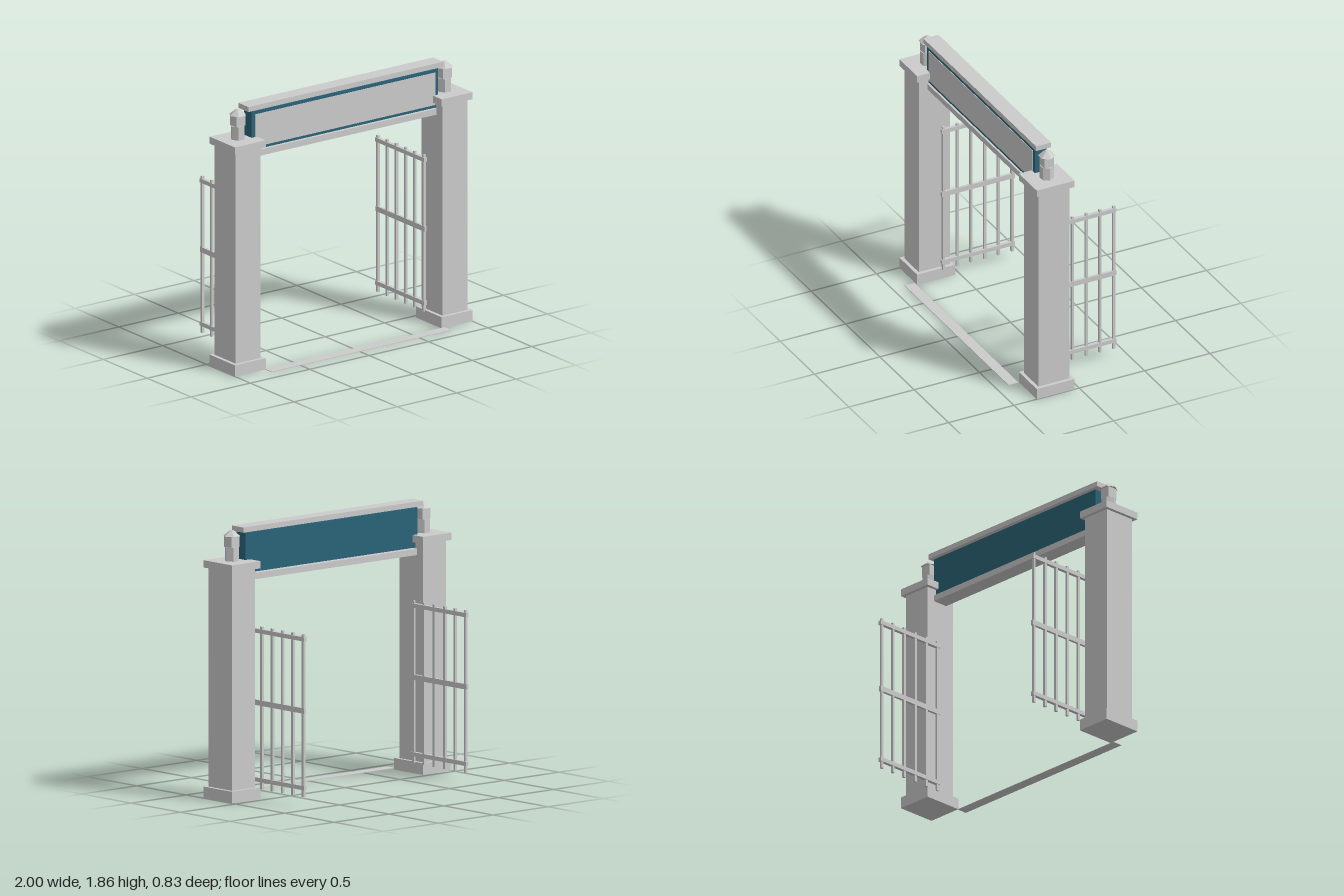
import * as THREE from 'three';

const grey = new THREE.MeshStandardMaterial({ color: 0xcccccc, flatShading: true });
const teal = new THREE.MeshStandardMaterial({ color: 0x2a6478, flatShading: true });

// Box given by its extents along each axis
function box(parent, name, [x0, x1], [y0, y1], [z0, z1], material = grey) {
  const mesh = new THREE.Mesh(new THREE.BoxGeometry(x1 - x0, y1 - y0, z1 - z0), material);
  mesh.position.set((x0 + x1) / 2, (y0 + y1) / 2, (z0 + z1) / 2);
  mesh.name = name;
  parent.add(mesh);
  return mesh;
}

// Six-sided prism or frustum with corners pointing along x
function hexagon(parent, name, rTop, rBottom, y0, y1) {
  const geometry = new THREE.CylinderGeometry(rTop, rBottom, y1 - y0, 6);
  geometry.rotateY(Math.PI / 2);
  const mesh = new THREE.Mesh(geometry, grey);
  mesh.position.y = (y0 + y1) / 2;
  mesh.name = name;
  parent.add(mesh);
}

// Lantern standing on a pillar cap
function createLantern() {
  const lantern = new THREE.Group();
  lantern.name = 'lantern';
  hexagon(lantern, 'lanternBase', 0.05, 0.05, 1.635, 1.73);
  box(lantern, 'lanternBody', [-0.037, 0.037], [1.73, 1.81], [-0.037, 0.037]);
  hexagon(lantern, 'lanternRoof', 0.012, 0.061, 1.806, 1.845);
  return lantern;
}

// Pillar with plinth, cap and lantern
function createPillar(side) {
  const pillar = new THREE.Group();
  pillar.name = side > 0 ? 'leftPillar' : 'rightPillar';
  box(pillar, 'plinth', [-0.13, 0.13], [0, 0.08], [-0.145, 0.145]);
  box(pillar, 'shaft', [-0.105, 0.105], [0.08, 1.585], [-0.12, 0.12]);
  box(pillar, 'cap', [-0.13, 0.13], [1.585, 1.635], [-0.145, 0.145]);
  pillar.add(createLantern());
  pillar.position.set(side * 0.87, 0, 0.18);
  return pillar;
}

// Gate leaf swung open towards the back
function createGate(side) {
  const gate = new THREE.Group();
  gate.name = side > 0 ? 'leftGate' : 'rightGate';
  const length = [-0.417, 0.142];
  box(gate, 'bottomRail', [-0.0125, 0.0125], [0.118, 0.147], length);
  box(gate, 'middleRail', [-0.0095, 0.0095], [0.643, 0.68], length);
  box(gate, 'topRail', [-0.0125, 0.0125], [1.14, 1.169], length);
  for (let i = 0; i < 6; i++) {
    const z = -0.4 + i * 0.105;
    box(gate, 'gateBar', [-0.009, 0.009], [0.07, 1.187], [z - 0.009, z + 0.009]);
  }
  gate.position.x = side * 0.739;
  return gate;
}

export function createModel() {
  const model = new THREE.Group();
  model.name = 'gateway';
  for (const side of [-1, 1]) model.add(createPillar(side), createGate(side));

  // Sign board between two beams
  box(model, 'lowerBeam', [-0.765, 0.765], [1.497, 1.54], [0.12, 0.235]);
  box(model, 'signBoard', [-0.785, 0.785], [1.546, 1.82], [0.138, 0.225], teal);
  box(model, 'signPanel', [-0.758, 0.758], [1.566, 1.797], [0.222, 0.229]);
  box(model, 'topBeam', [-0.82, 0.82], [1.828, 1.864], [0.12, 0.235]);

  // Thin strip on the ground in front
  box(model, 'groundStrip', [-0.756, 0.756], [0.006, 0.01], [0.337, 0.412]);
  return model;
}
